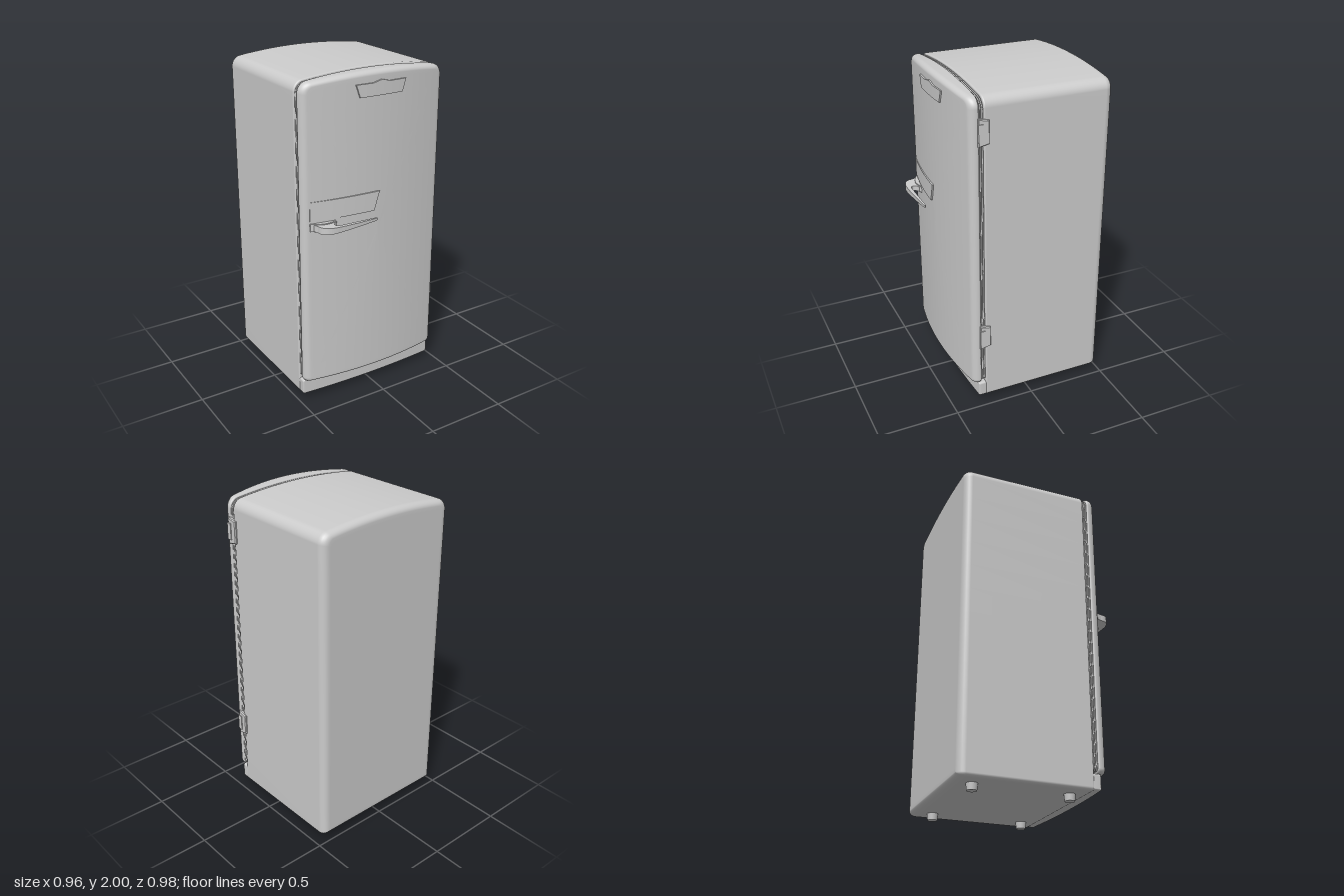
import * as THREE from 'three';

const CX = -0.01; // the cabinet sits slightly off centre because of the hinges
const material = new THREE.MeshStandardMaterial({ color: 0xcccccc, side: THREE.DoubleSide });
const doorFront = x => 0.418 - 0.05 * ((x - CX) / 0.47) ** 2;

function add(parent, name, geometry) {
  const mesh = new THREE.Mesh(geometry, material);
  mesh.name = name;
  parent.add(mesh);
  return mesh;
}

// Counter-clockwise rounded rectangle with an arched top
function outline({ hw, y0, y1, rTop, rBottom, arch }, inset) {
  const w = hw - inset, lo = y0 + inset * 0.6, hi = y1 - inset * 0.8, pts = [];
  const corner = (sx, top, from) => {
    const r = Math.max(0.004, (top ? rTop : rBottom) - inset * 0.5);
    for (let i = 0; i <= 8; i++) {
      const a = from + (i / 8) * Math.PI / 2;
      const x = sx * (w - r) + r * Math.cos(a);
      const y = (top ? hi - r : lo + r) + r * Math.sin(a);
      pts.push([x, top ? y - arch * (x / hw) ** 2 : y]);
    }
    return r;
  };
  const edge = (from, to, r, top) => {
    for (let i = 1; i < 24; i++) {
      const x = (from + (to - from) * i / 24) * (w - r);
      pts.push([x, top ? hi - arch * (x / hw) ** 2 : lo]);
    }
  };
  const side = (sx, up) => {
    const [a, b] = [lo + rBottom, hi - rTop - arch];
    for (let i = 1; i < 12; i++) {
      const t = up ? i / 12 : 1 - i / 12;
      pts.push([sx * w, a + (b - a) * t]);
    }
  };
  corner(1, false, -Math.PI / 2);
  side(1, true);
  edge(1, -1, corner(1, true, 0), true);
  corner(-1, true, Math.PI / 2);
  side(-1, false);
  edge(-1, 1, corner(-1, false, Math.PI), false);
  return pts;
}

// Joins rings [inset, z or z(x)] from back to front and closes both ends
function loft(spec, rings) {
  const caps = [0, 0.2, 0.4, 0.6, 0.8, 0.92, 0.98];
  const all = [
    ...caps.map(s => [...rings[0], s]),
    ...rings.map(r => [...r, 1]),
    ...caps.slice().reverse().map(s => [...rings[rings.length - 1], s]),
  ];
  const pos = [], index = [], mid = (spec.y0 + spec.y1) / 2;
  let n = 0;
  all.forEach(([inset, z, s]) => {
    const loop = outline(spec, inset);
    n = loop.length;
    loop.forEach(([px, py]) => {
      const x = CX + px * s;
      pos.push(x, mid + (py - mid) * s, typeof z === 'function' ? z(x) : z);
    });
  });
  for (let i = 0; i < all.length - 1; i++) {
    for (let j = 0; j < n; j++) {
      const a = i * n + j, b = i * n + (j + 1) % n;
      index.push(a, b, b + n, a, b + n, a + n);
    }
  }
  const g = new THREE.BufferGeometry();
  g.setAttribute('position', new THREE.Float32BufferAttribute(pos, 3));
  g.setIndex(index);
  g.computeVertexNormals();
  return g;
}

// Quarter-round rings: opening at a back edge, closing at a front edge
const roundRings = (r, z, front, steps = 6) => Array.from({ length: steps + 1 }, (_, i) => {
  const a = (front ? i : steps - i) / steps * Math.PI / 2;
  const inset = r * (1 - Math.cos(a)), d = r * (1 - Math.sin(a));
  if (!front) return [inset, z + d];
  return [inset, typeof z === 'function' ? x => z(x) - d : z - d];
});

// Thin plate following the door; map(u, v) gives [x, y, thickness], u and v in 0..1
function doorPlate(map) {
  const g = new THREE.BoxGeometry(1, 1, 1, 24, 1, 1), p = g.attributes.position;
  for (let i = 0; i < p.count; i++) {
    const [x, y, t] = map(p.getX(i) + 0.5, p.getY(i) + 0.5);
    p.setXYZ(i, x, y, doorFront(x) + (p.getZ(i) > 0 ? t : -0.01));
  }
  g.computeVertexNormals();
  return g;
}

function handleGeometry() {
  // Plan of the lever, x against z
  const s = new THREE.Shape();
  s.moveTo(-0.425, 0.385);
  s.lineTo(-0.28, 0.4);
  s.lineTo(-0.285, 0.415);
  s.bezierCurveTo(-0.325, 0.422, -0.33, 0.463, -0.285, 0.463);
  s.lineTo(-0.05, 0.458);
  s.quadraticCurveTo(-0.038, 0.463, -0.05, 0.469);
  s.quadraticCurveTo(-0.2, 0.486, -0.32, 0.487);
  s.bezierCurveTo(-0.38, 0.485, -0.41, 0.465, -0.412, 0.42);
  s.closePath();
  const g = new THREE.ExtrudeGeometry(s, { depth: 1, bevelEnabled: false, curveSegments: 12 });
  g.rotateX(Math.PI / 2);
  // Taper the height towards the tip
  const p = g.attributes.position;
  for (let i = 0; i < p.count; i++) {
    const t = THREE.MathUtils.clamp((p.getX(i) + 0.4) / 0.36, 0, 1);
    p.setY(i, 1.15 + (p.getY(i) + 0.5) * (0.04 - 0.026 * t));
  }
  g.computeVertexNormals();
  return g;
}

export function createModel() {
  const model = new THREE.Group();
  model.name = 'refrigerator';

  // Cabinet
  const shell = { hw: 0.47, y0: 0.04, y1: 2, rTop: 0.055, rBottom: 0.02, arch: 0.035 };
  add(model, 'cabinet', loft(shell, [...roundRings(0.045, -0.49, false), ...roundRings(0.01, 0.292, true, 4)]));

  // Ribbed seal between cabinet and door
  const seal = { ...shell, hw: 0.464, y0: 0.155, y1: 1.99 };
  const ribs = [[0.01, 0.285]];
  for (let i = 0; i < 3; i++) {
    const z = 0.293 + i * 0.01;
    ribs.push([0.01, z], [0, z + 0.002], [0, z + 0.006], [0.01, z + 0.008]);
  }
  add(model, 'doorSeal', loft(seal, [...ribs, [0.01, 0.33]]));

  // Bowed door
  const door = { ...shell, y0: 0.14, rBottom: 0.03 };
  add(model, 'door', loft(door, [...roundRings(0.01, 0.32, false, 4), ...roundRings(0.035, doorFront, true, 8)]));

  // Kick plate below the door
  const kick = { hw: 0.467, y0: 0.045, y1: 0.138, rTop: 0.012, rBottom: 0.008, arch: 0 };
  const kickFront = x => 0.355 - 0.02 * ((x - CX) / 0.467) ** 2;
  add(model, 'kickPlate', loft(kick, [[0, 0.27], ...roundRings(0.006, kickFront, true, 3)]));

  // Badge with a small peak in the middle of its top edge
  add(model, 'badge', doorPlate((u, v) => {
    const x = (u * 2 - 1) * (0.14 + 0.025 * v);
    const peak = 0.014 * Math.max(0, 1 - Math.abs(x) / 0.055);
    return [x, 1.86 + v * (0.073 + peak), 0.009];
  }));

  // Handle: backing plate, mount and lever
  const handle = new THREE.Group();
  handle.name = 'handle';
  model.add(handle);
  add(handle, 'backingPlate', doorPlate((u, v) =>
    [-0.44 + u * (0.4 + 0.035 * v), 1.188 + 0.114 * v, 0.003 + 0.007 * u]));
  add(handle, 'handleMount', doorPlate((u, v) =>
    [-0.44 + u * 0.155, 1.128 + 0.046 * v, 0.006 + 0.02 * Math.sin(u * Math.PI)]));
  add(handle, 'handleLever', handleGeometry());

  // Hinges on the left side
  const leaf = new THREE.Shape([[-0.325, -0.075], [-0.268, -0.063], [-0.268, 0.063], [-0.325, 0.075]]
    .map(([x, y]) => new THREE.Vector2(x, y)));
  const leafGeometry = new THREE.ExtrudeGeometry(leaf, {
    depth: 0.014, bevelThickness: 0.006, bevelSize: 0.005, bevelSegments: 1 });
  leafGeometry.rotateY(Math.PI / 2);
  for (const y of [0.48, 1.78]) {
    const hinge = new THREE.Group();
    hinge.name = 'hinge';
    hinge.position.y = y;
    model.add(hinge);
    add(hinge, 'hingeLeaf', leafGeometry).position.x = 0.453;
    add(hinge, 'hingeKnuckle', new THREE.BoxGeometry(0.03, 0.1, 0.03)).position.set(0.463, 0, 0.315);
  }

  // Feet
  for (const x of [-0.355, 0.34]) {
    for (const z of [0.2, -0.37]) {
      add(model, 'foot', new THREE.CylinderGeometry(0.034, 0.029, 0.05, 24)).position.set(x, 0.025, z);
    }
  }
  return model;
}
